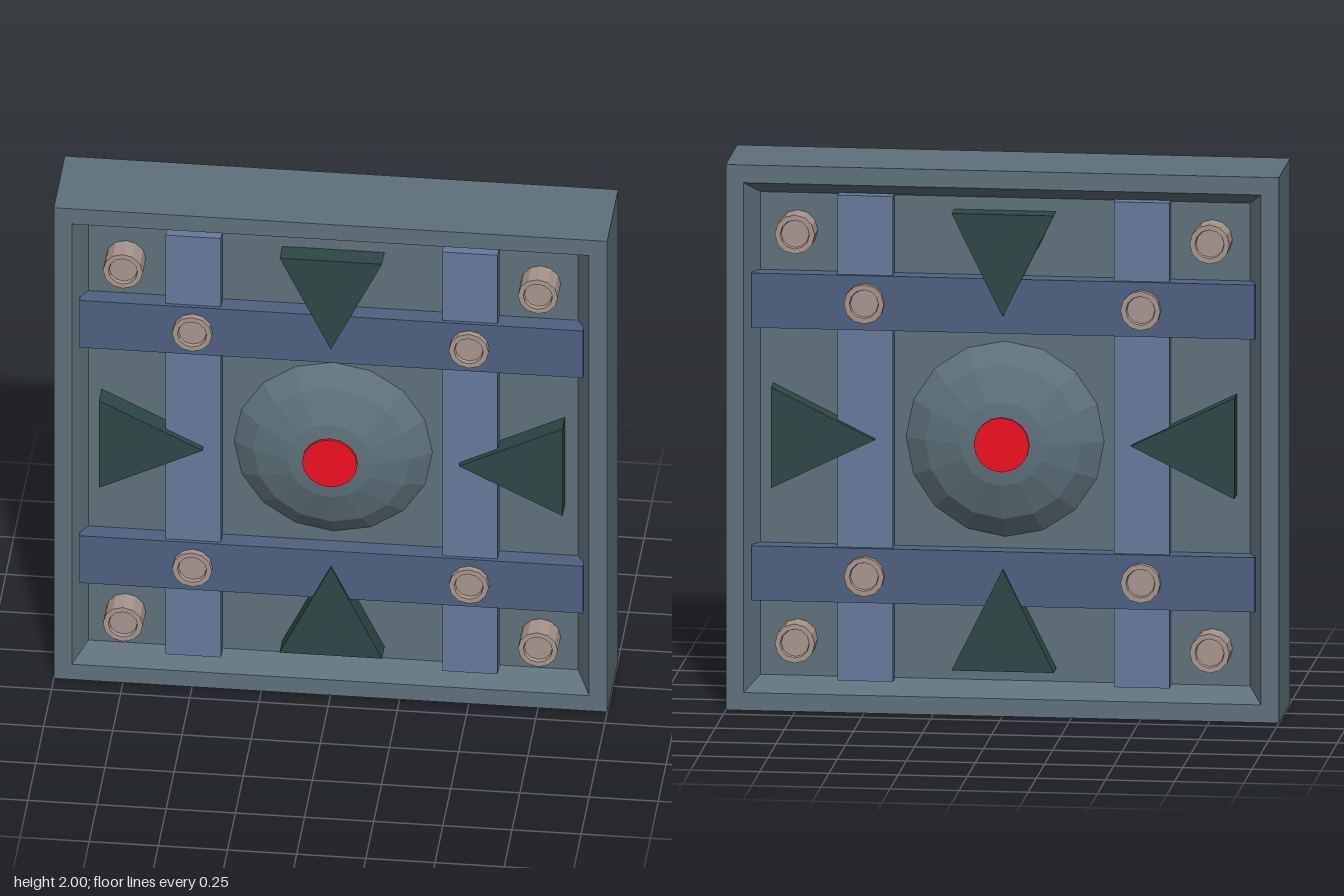
import * as THREE from 'three';

const mat = (color) => new THREE.MeshStandardMaterial({ color, flatShading: true });
const STONE = mat(0x5e717b), BAR = mat(0x4f6180), BAR_LIGHT = mat(0x647a9c);
const SPIKE = mat(0x2d4745), BOLT = mat(0xa8968d), RED = mat(0xf01020);

// Profile of [radius, z] spun around the z axis
function spin(profile, sides, phiStart = 0) {
  const pts = profile.map(([r, z]) => new THREE.Vector2(r, z));
  return new THREE.LatheGeometry(pts, sides, phiStart).rotateX(Math.PI / 2);
}

export function createModel() {
  const model = new THREE.Group();
  const add = (name, geometry, material, x = 0, y = 0) => {
    const mesh = new THREE.Mesh(geometry, material);
    mesh.name = name;
    mesh.position.set(x, y + 1, 0);
    model.add(mesh);
    return mesh;
  };

  // Square frame with sloped inner faces: a four-sided ring
  const q = Math.SQRT2;
  const ring = [[1, -0.175], [1, 0.175], [0.935, 0.175], [0.885, 0.085],
    [0.885, -0.085], [0.935, -0.175], [1, -0.175]].map(([r, z]) => [r * q, z]);
  add('frame', spin(ring, 4, Math.PI / 4), STONE);
  add('panel', new THREE.BoxGeometry(1.78, 1.78, 0.17), STONE);

  // Crossing bars, running through the panel to show on both faces
  for (const s of [-1, 1]) {
    add('verticalBar', new THREE.BoxGeometry(0.2, 1.78, 0.28), BAR_LIGHT, s * 0.5, 0);
    add('horizontalBar', new THREE.BoxGeometry(1.82, 0.2, 0.31), BAR, 0, s * 0.5);
  }

  // Bolts with a sunken centre at the bar crossings and panel corners
  const bolt = spin([[0, -0.165], [0.05, -0.165], [0.053, -0.18], [0.072, -0.18],
    [0.072, 0.18], [0.053, 0.18], [0.05, 0.165], [0, 0.165]], 12);
  for (const d of [0.5, 0.75])
    for (const sx of [-1, 1])
      for (const sy of [-1, 1])
        add(d === 0.5 ? 'barBolt' : 'cornerBolt', bolt, BOLT, sx * d, sy * d);

  // Four triangular wedges pointing at the centre
  const tri = new THREE.Shape([[-0.185, -0.838], [0.185, -0.838], [0, -0.463]]
    .map(([x, y]) => new THREE.Vector2(x, y)));
  const wedge = new THREE.ExtrudeGeometry(tri, { depth: 0.33, bevelEnabled: false });
  wedge.translate(0, 0, -0.165);
  for (let i = 0; i < 4; i++) add('wedge', wedge, SPIKE).rotation.z = i * Math.PI / 2;

  // Flattened faceted dome and its round button
  const dome = new THREE.SphereGeometry(0.4, 16, 8).rotateX(Math.PI / 2).scale(1, 1, 0.5);
  add('dome', dome, STONE);
  add('button', new THREE.CylinderGeometry(0.1, 0.1, 0.4, 16).rotateX(Math.PI / 2), RED);

  return model;
}
